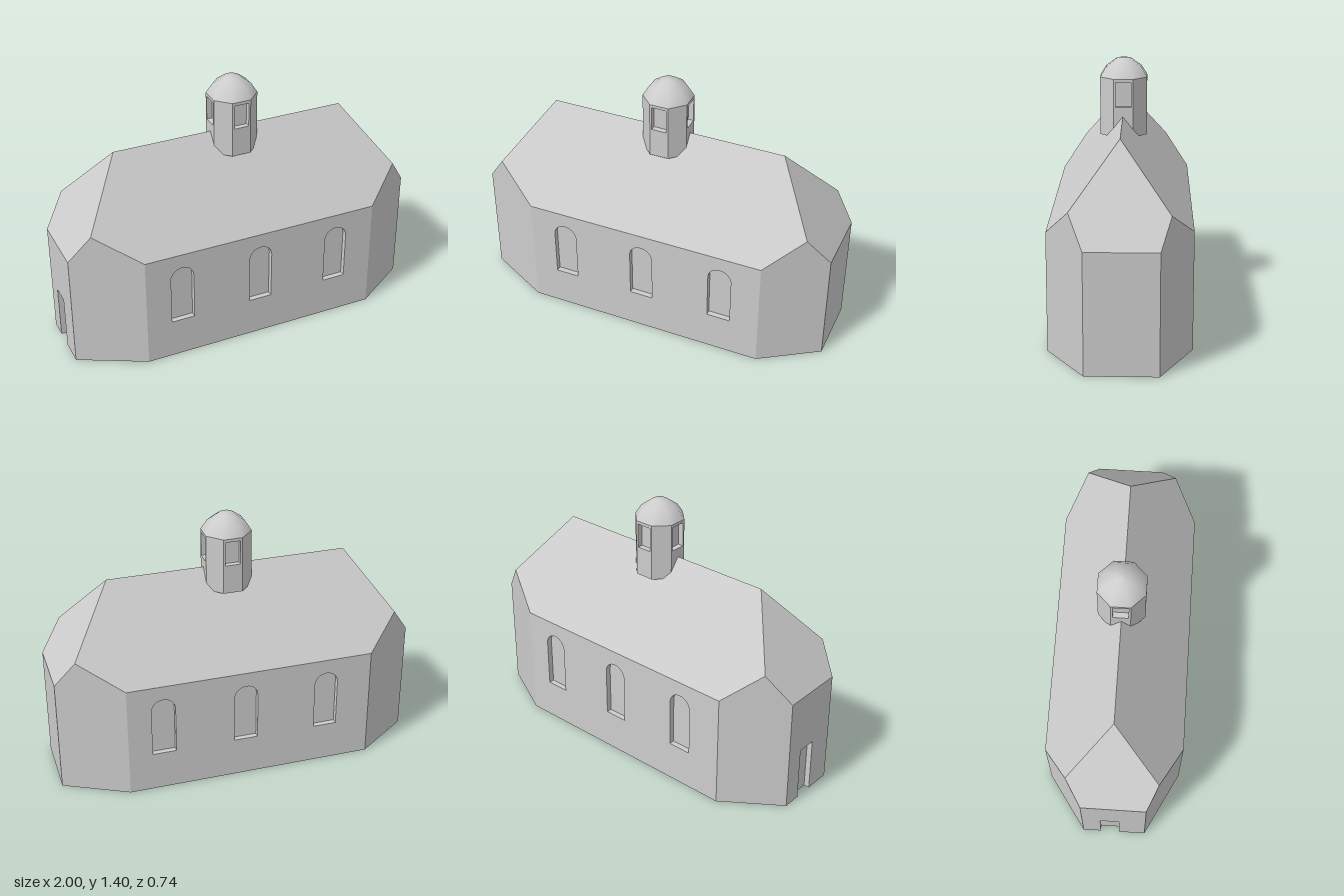
import * as THREE from 'three';

const stone = new THREE.MeshStandardMaterial({ color: 0xcccccc });
stone.name = 'pale grey stone';

const EAVE = 0.63, RIDGE = 1.1, HALF = 0.37, RIDGE_X = 0.66, RECESS = 0.03;

function add(parent, name, geometry) {
  const mesh = new THREE.Mesh(geometry, stone);
  mesh.name = name;
  parent.add(mesh);
  return mesh;
}

// Flat convex polygon, turned to face away from the middle of the building
function polygon(points) {
  const p = points.map((a) => new THREE.Vector3(...a));
  const mid = p.reduce((s, v) => s.add(v), new THREE.Vector3()).divideScalar(p.length);
  const normal = p[1].clone().sub(p[0]).cross(p[2].clone().sub(p[0]));
  if (normal.dot(mid.sub(new THREE.Vector3(0, 0.55, 0))) < 0) p.reverse();
  const tris = [];
  for (let i = 1; i < p.length - 1; i++) tris.push(p[0], p[i], p[i + 1]);
  const g = new THREE.BufferGeometry().setFromPoints(tris);
  g.computeVertexNormals();
  return g;
}

// Opening with a straight or a round head
function opening(x, y0, y1, w, arched) {
  const r = w / 2, path = new THREE.Path();
  path.moveTo(x - r, y0);
  path.lineTo(x + r, y0);
  if (arched) {
    path.lineTo(x + r, y1 - r);
    path.absarc(x, y1 - r, r, 0, Math.PI, false);
  } else {
    path.lineTo(x + r, y1);
    path.lineTo(x - r, y1);
  }
  path.closePath();
  return path;
}

// Wall facing local +z with recessed openings, set at a distance and turned about y
function recessedWall(parent, name, outline, holes, distance, angle) {
  const wall = new THREE.Group();
  wall.name = name;
  wall.rotation.y = angle;
  const shape = new THREE.Shape(outline.map((p) => new THREE.Vector2(...p)));
  shape.holes = holes;
  const slab = new THREE.ExtrudeGeometry(shape, { depth: RECESS, bevelEnabled: false, curveSegments: 12 });
  add(wall, name + 'Face', slab).position.z = distance - RECESS;
  const xs = outline.map((p) => p[0]), ys = outline.map((p) => p[1]);
  const x0 = Math.min(...xs), x1 = Math.max(...xs), y0 = Math.min(...ys), y1 = Math.max(...ys);
  const panel = new THREE.PlaneGeometry(x1 - x0, y1 - y0);
  panel.translate((x0 + x1) / 2, (y0 + y1) / 2, distance - RECESS);
  add(wall, name + 'RecessPanel', panel);
  parent.add(wall);
}

const rect = (x0, x1, y0, y1) => [[x0, y0], [x1, y0], [x1, y1], [x0, y1]];

export function createModel() {
  const model = new THREE.Group();
  model.name = 'chapel';

  // Plan corners: where each long wall ends (a) and where each end wall begins (b)
  const corners = {
    frontLeft: { a: [0.69, HALF], b: [1, 0.17] },
    frontRight: { a: [-0.65, HALF], b: [-1, 0.19] },
    backLeft: { a: [0.66, -HALF], b: [1, -0.2] },
    backRight: { a: [-0.7, -HALF], b: [-1, -0.16] },
  };
  const at = (p, y) => [p[0], y, p[1]];

  // Slanted corner walls, rising to the point where they cut the hip
  for (const [name, c] of Object.entries(corners)) {
    const { a, b } = c, sx = Math.sign(b[0]), sz = Math.sign(a[1]);
    const dx = b[0] - a[0], dz = b[1] - a[1];
    const hx = sx * (1 - RIDGE_X), hz = sz * HALF;
    const t = (a[0] * dz - a[1] * dx - sx * RIDGE_X * dz) / (hx * dz - hz * dx);
    c.hip = [sx * RIDGE_X + hx * t, RIDGE - (RIDGE - EAVE) * t, hz * t];
    add(model, name + 'CornerWall', polygon([at(a, 0), at(b, 0), at(b, EAVE), c.hip, at(a, EAVE)]));
  }
  const { frontLeft: fl, frontRight: fr, backLeft: bl, backRight: br } = corners;

  // Roof slopes and hipped ends
  const ridgeL = [RIDGE_X, RIDGE, 0], ridgeR = [-RIDGE_X, RIDGE, 0];
  const slope = (l, r) => polygon([ridgeR, r.hip, at(r.a, EAVE), at(l.a, EAVE), l.hip, ridgeL]);
  const hipEnd = (top, f, b) => polygon([top, f.hip, at(f.b, EAVE), at(b.b, EAVE), b.hip]);
  add(model, 'frontRoof', slope(fl, fr));
  add(model, 'backRoof', slope(bl, br));
  add(model, 'leftHip', hipEnd(ridgeL, fl, bl));
  add(model, 'rightHip', hipEnd(ridgeR, fr, br));

  // Long walls with three arched windows each
  const windows = (s) => [-0.445, 0.01, 0.465].map((x) => opening(s * x, 0.22, 0.55, 0.13, true));
  recessedWall(model, 'frontWall', rect(fr.a[0], fl.a[0], 0, EAVE), windows(1), HALF, 0);
  recessedWall(model, 'backWall', rect(-bl.a[0], -br.a[0], 0, EAVE), windows(-1), HALF, Math.PI);

  // End walls: one plain, one with the doorway
  add(model, 'leftEndWall', polygon([at(fl.b, 0), at(bl.b, 0), at(bl.b, EAVE), at(fl.b, EAVE)]));
  const d0 = -0.06, d1 = 0.045, doorTop = 0.3;
  recessedWall(model, 'doorWall', [
    [br.b[1], 0], [d0, 0], [d0, doorTop], [d1, doorTop], [d1, 0],
    [fr.b[1], 0], [fr.b[1], EAVE], [br.b[1], EAVE],
  ], [], 1, -Math.PI / 2);

  // Underside, notched at the doorway
  const plan = [br.b, br.a, bl.a, bl.b, fl.b, fl.a, fr.a, fr.b,
    [-1, d1], [-1 + RECESS, d1], [-1 + RECESS, d0], [-1, d0]];
  const floor = new THREE.ShapeGeometry(new THREE.Shape(plan.map((p) => new THREE.Vector2(...p))));
  add(model, 'underside', floor.rotateX(Math.PI / 2));

  // Octagonal bell turret with four openings
  const turret = new THREE.Group();
  turret.name = 'turret';
  turret.position.set(0.01, 0, -0.003);
  const apothem = 0.125, half = apothem * Math.tan(Math.PI / 8), radius = apothem / Math.cos(Math.PI / 8);
  const base = 0.99, top = 1.3;
  for (let i = 0; i < 8; i++) {
    const angle = (i * Math.PI) / 4;
    if (i % 2 === 0) {
      recessedWall(turret, 'turretWall', rect(-half, half, base, top),
        [opening(0, 1.15, 1.283, 0.082, false)], apothem, angle);
    } else {
      const g = new THREE.PlaneGeometry(2 * half, top - base);
      g.translate(0, (base + top) / 2, apothem);
      add(turret, 'turretCornerWall', g).rotation.y = angle;
    }
  }
  const under = new THREE.CircleGeometry(radius, 8, Math.PI / 8).rotateX(Math.PI / 2);
  add(turret, 'turretUnderside', under).position.y = base;

  // Smooth eight-sided dome
  const profile = [[1, 1.3], [0.76, 1.35], [0.3, 1.395], [0, 1.4]];
  add(turret, 'dome', new THREE.LatheGeometry(
    profile.map(([r, y]) => new THREE.Vector2(r * radius, y)), 8, Math.PI / 8));
  model.add(turret);

  return model;
}
